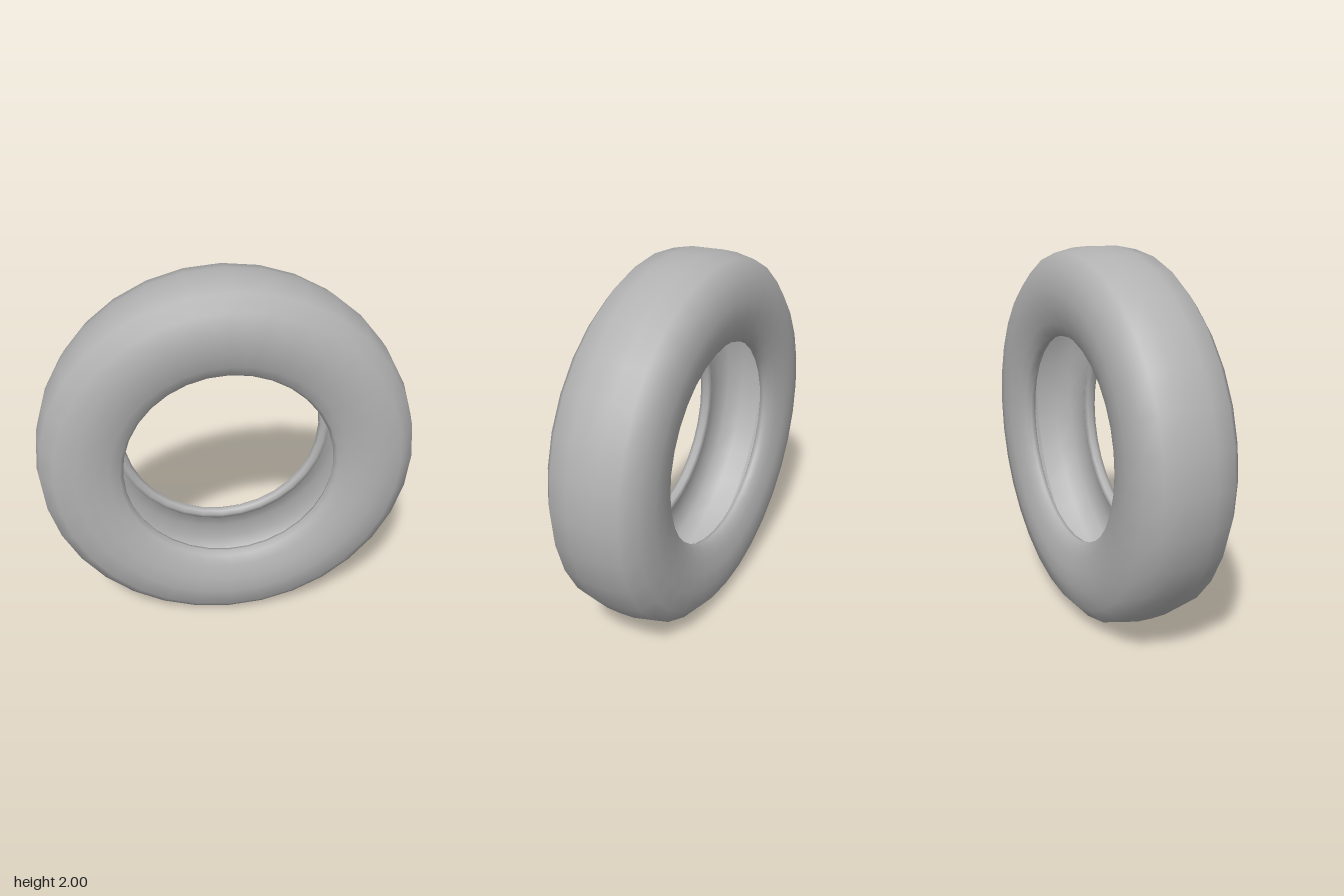
import * as THREE from 'three';

export function createModel() {
  const group = new THREE.Group();
  const rubber = new THREE.MeshStandardMaterial({ color: 0xb2b2b2 });
  rubber.name = 'greyRubber';

  // Half cross-section (radius, depth): tread, shoulder, sidewall, rolled bead, hollow inside
  const half = [
    [1, 0], [0.997, 0.08], [0.975, 0.185], [0.9, 0.25], [0.79, 0.272],
    [0.7, 0.267], [0.62, 0.245], [0.568, 0.222], [0.55, 0.195], [0.558, 0.17],
    [0.58, 0.16], [0.605, 0.17], [0.62, 0.195],
    [0.7, 0.222], [0.8, 0.225], [0.88, 0.195], [0.93, 0.12], [0.945, 0],
  ];

  // Mirror the half to close the section, with the seam hidden inside
  const mirrored = half.slice(1).reverse().map(([r, z]) => [r, -z]);
  const section = [...mirrored, ...half].map(([r, z]) => new THREE.Vector2(r, z));

  // Spin the section about the axle, then lay the axle along z
  const geometry = new THREE.LatheGeometry(section, 32);
  geometry.rotateX(Math.PI / 2);

  const tyre = new THREE.Mesh(geometry, rubber);
  tyre.name = 'tyre';
  tyre.position.y = 1;
  group.add(tyre);
  return group;
}
